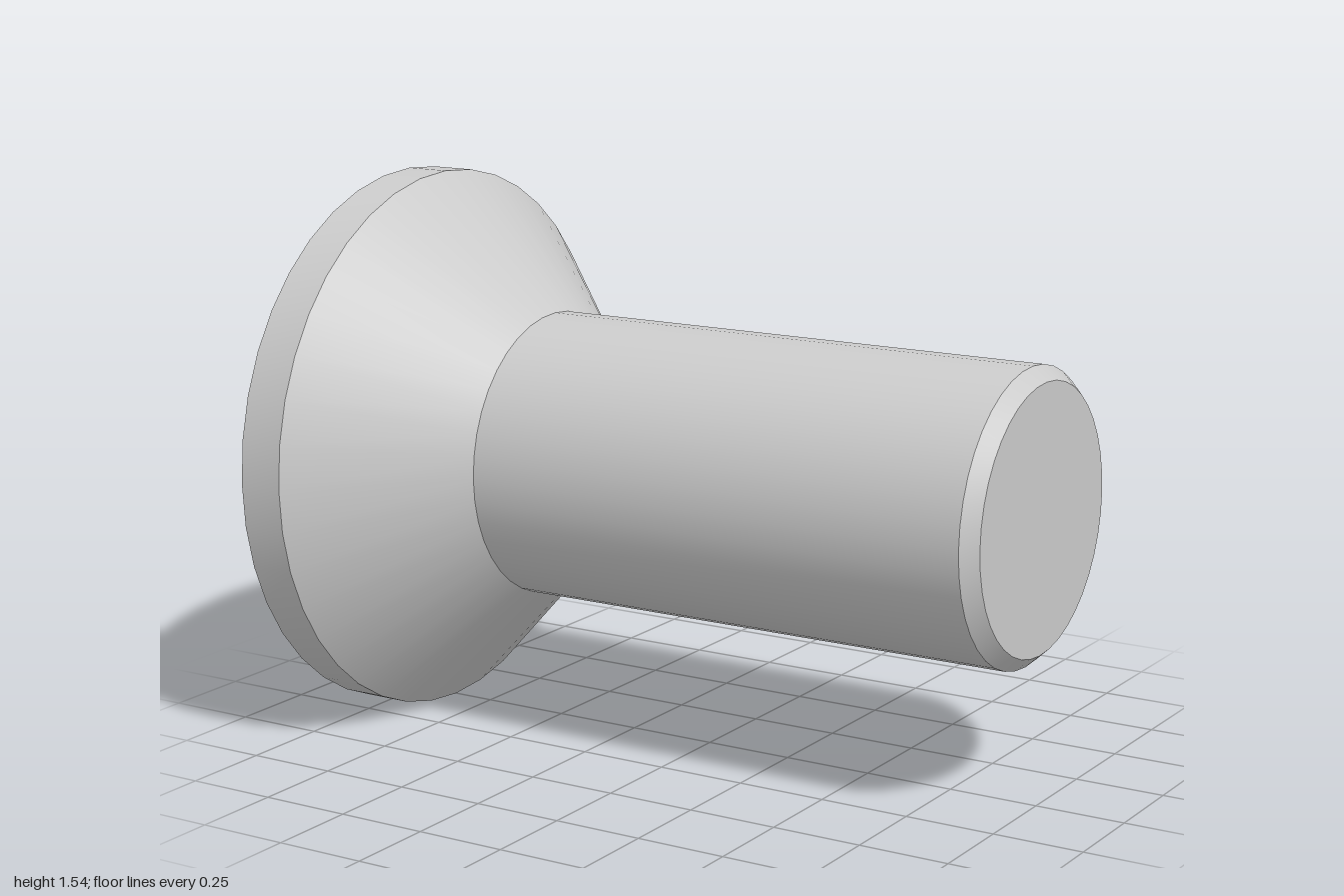
import * as THREE from 'three';
import { toCreasedNormals } from 'three/addons/utils/BufferGeometryUtils.js';

const SEGMENTS = 40;
const HEAD_RADIUS = 0.768;
const SOCKET_RADIUS = 0.286; // centre to corner of the hexagon
const SOCKET_DEPTH = 0.3;

// Corners of a regular polygon with one corner pointing up
function polygon(radius, sides) {
  return Array.from({ length: sides }, (_, i) => {
    const a = Math.PI / 2 + (i / sides) * Math.PI * 2;
    return new THREE.Vector2(Math.cos(a) * radius, Math.sin(a) * radius);
  });
}

// Flat shape turned to face -x at the given position along the screw
function facingHead(shape, x) {
  return new THREE.ShapeGeometry(shape).rotateY(-Math.PI / 2).translate(x, 0, 0);
}

// Surface of revolution around the x axis from [x, radius] pairs
function turned(profile) {
  const points = profile.map(([x, r]) => new THREE.Vector2(r, x));
  const geometry = new THREE.LatheGeometry(points, SEGMENTS).rotateZ(-Math.PI / 2);
  return toCreasedNormals(geometry, 0.5);
}

export function createModel() {
  const screw = new THREE.Group();
  screw.name = 'countersunkScrew';
  const material = new THREE.MeshStandardMaterial({ color: 0xcccccc });
  const add = (name, geometry, mat = material) => {
    const mesh = new THREE.Mesh(geometry, mat);
    mesh.name = name;
    mesh.position.y = HEAD_RADIUS;
    screw.add(mesh);
  };

  // Rim and countersunk cone
  add('head', turned([[-1, HEAD_RADIUS], [-0.873, HEAD_RADIUS], [-0.505, 0.397]]));

  // Shank with chamfered tip and flat end
  add('shank', turned([[-0.505, 0.397], [0.96, 0.397], [1, 0.36], [1, 0]]));

  // Flat head face with the hexagonal opening
  const face = new THREE.Shape(polygon(HEAD_RADIUS, SEGMENTS));
  face.holes.push(new THREE.Path(polygon(SOCKET_RADIUS, 6)));
  add('headFace', facingHead(face, -1));

  // Hexagonal socket, seen from inside
  const walls = new THREE.CylinderGeometry(SOCKET_RADIUS, SOCKET_RADIUS, SOCKET_DEPTH, 6, 1, true)
    .rotateY(Math.PI / 6)
    .rotateZ(Math.PI / 2)
    .translate(-1 + SOCKET_DEPTH / 2, 0, 0);
  add('socketWalls', walls, new THREE.MeshStandardMaterial({
    color: 0xcccccc, flatShading: true, side: THREE.DoubleSide,
  }));
  add('socketFloor', facingHead(new THREE.Shape(polygon(SOCKET_RADIUS, 6)), -1 + SOCKET_DEPTH));

  return screw;
}
